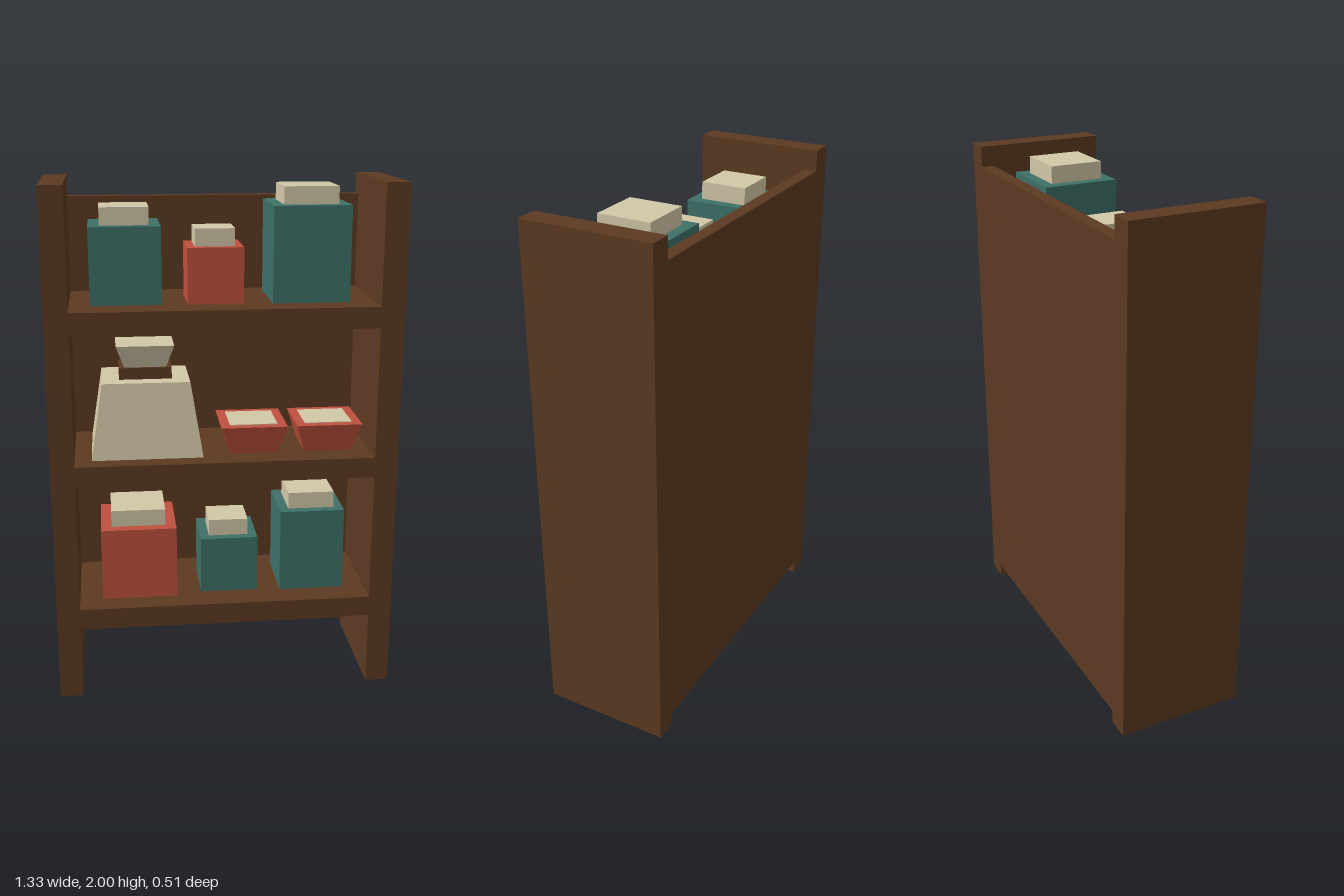
import * as THREE from 'three';

const material = (name, color) => {
  const m = new THREE.MeshStandardMaterial({ color });
  m.name = name;
  return m;
};

export function createModel() {
  const wood = material('dark wood', 0x5c3a21);
  const teal = material('teal', 0x3d7068);
  const red = material('red', 0xc0503e);
  const cream = material('cream', 0xd2c7a7);

  const model = new THREE.Group();
  model.name = 'pantryShelf';

  // Box standing on y; taper scales its top face relative to its base
  function block(parent, name, mat, [w, h, d], [x, y, z], taper = 1) {
    const geo = new THREE.BoxGeometry(w, h, d);
    const p = geo.attributes.position;
    for (let i = 0; i < p.count; i++) {
      if (p.getY(i) > 0) {
        p.setX(i, p.getX(i) * taper);
        p.setZ(i, p.getZ(i) * taper);
      }
    }
    geo.translate(0, h / 2, 0);
    geo.computeVertexNormals();
    const mesh = new THREE.Mesh(geo, mat);
    mesh.name = name;
    mesh.position.set(x, y, z);
    parent.add(mesh);
    return mesh;
  }

  function group(name) {
    const g = new THREE.Group();
    g.name = name;
    model.add(g);
    return g;
  }

  // Frame: two side boards, back panel and three shelves
  const frame = group('frame');
  for (const [side, name] of [[1, 'leftSide'], [-1, 'rightSide']]) {
    block(frame, name, wood, [0.09, 2, 0.506], [side * 0.62, 0, 0]);
  }
  block(frame, 'backPanel', wood, [1.15, 1.865, 0.05], [0, 0.055, -0.228]);
  const shelfTops = [0.375, 0.963, 1.55];
  for (const top of shelfTops) {
    block(frame, 'shelf', wood, [1.15, 0.08, 0.456], [0, top - 0.08, 0.025]);
  }

  // Square jars: shelf, colour, x, z, width, height, lid width
  const jars = [
    [2, teal, -0.363, -0.003, 0.267, 0.29, 0.183],
    [2, red, -0.028, 0.025, 0.212, 0.21, 0.15],
    [2, teal, 0.332, -0.002, 0.293, 0.36, 0.207],
    [0, red, -0.336, 0.012, 0.297, 0.29, 0.213],
    [0, teal, 0.024, 0.02, 0.228, 0.228, 0.156],
    [0, teal, 0.357, 0.017, 0.257, 0.335, 0.183],
  ];
  for (const [shelf, mat, x, z, w, h, lid] of jars) {
    const jar = group('jar');
    jar.position.set(x, shelfTops[shelf], z);
    block(jar, 'jarBody', mat, [w, h, w], [0, 0, 0]);
    block(jar, 'jarLid', cream, [lid, 0.066, lid], [0, h, 0]);
  }

  // Kitchen scale: tapered body, wooden neck, flared pan
  const scale = group('kitchenScale');
  scale.position.set(-0.295, shelfTops[1], 0.012);
  block(scale, 'scaleBody', cream, [0.428, 0.292, 0.338], [0, 0, 0], 0.785);
  block(scale, 'scaleNeck', wood, [0.202, 0.045, 0.145], [0, 0.292, 0]);
  block(scale, 'scalePan', cream, [0.16, 0.087, 0.125], [0, 0.337, 0], 1.39);

  // Flared bowls with a pale filling
  for (const x of [0.118, 0.411]) {
    const bowl = group('bowl');
    bowl.position.set(x, shelfTops[1], 0.05);
    block(bowl, 'bowlBody', red, [0.187, 0.113, 0.187], [0, 0, 0], 1.37);
    block(bowl, 'bowlFilling', cream, [0.185, 0.004, 0.185], [0, 0.112, 0]);
  }

  return model;
}
